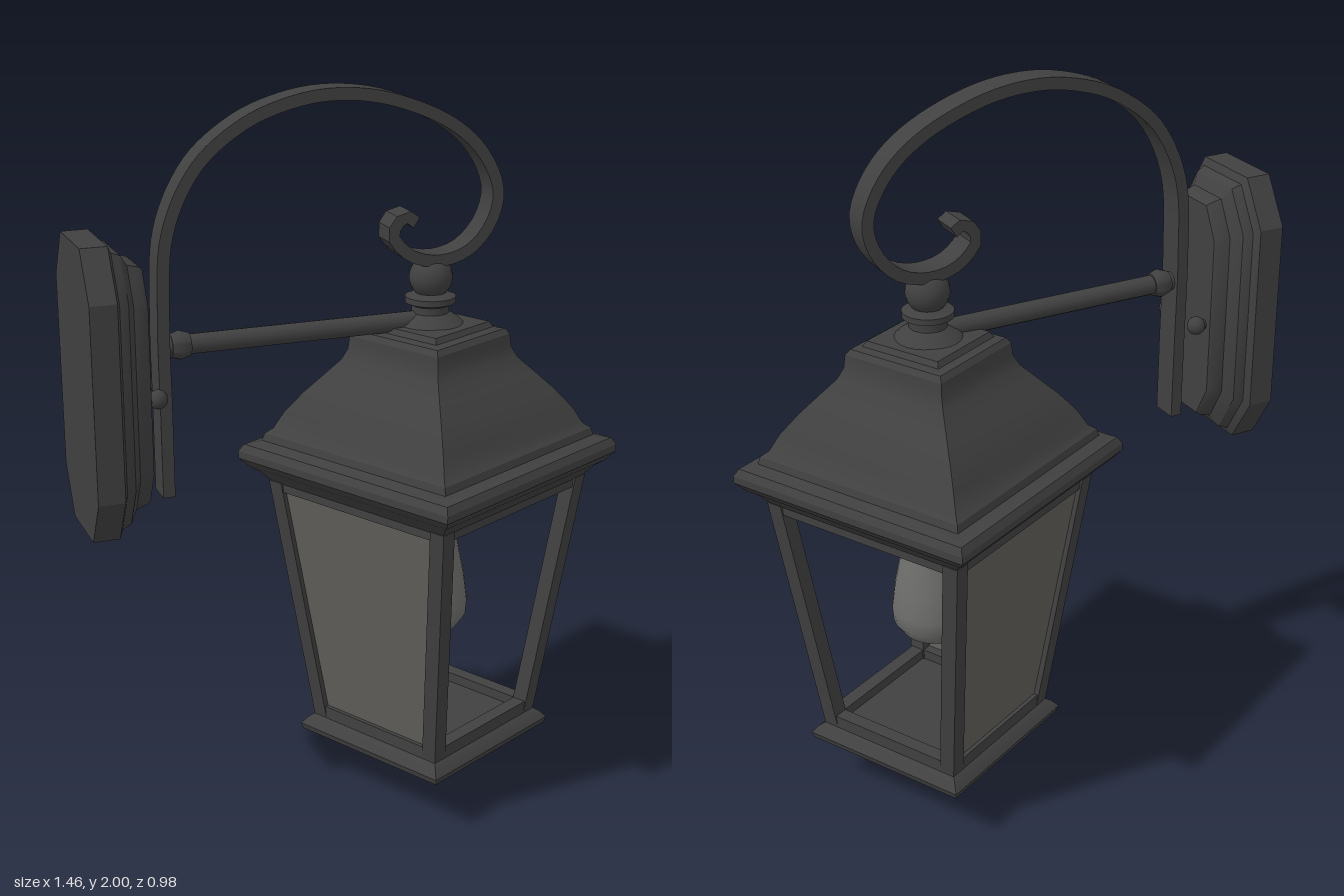
import * as THREE from 'three';
import { toCreasedNormals } from 'three/addons/utils/BufferGeometryUtils.js';

const metal = new THREE.MeshStandardMaterial({ color: 0x404040 });
metal.name = 'dark metal';
const glass = new THREE.MeshStandardMaterial({ color: 0x605f5a, side: THREE.DoubleSide });
glass.name = 'smoked glass';
const bulbGlass = new THREE.MeshStandardMaterial({ color: 0x6e6e6c });
bulbGlass.name = 'bulb glass';

function add(parent, name, geometry, material = metal, x = 0, y = 0, z = 0) {
  const mesh = new THREE.Mesh(geometry, material);
  mesh.name = name;
  mesh.position.set(x, y, z);
  parent.add(mesh);
  return mesh;
}

const vectors = (list) => list.map(([x, y]) => new THREE.Vector2(x, y));

// Profile of [radius, height] pairs, bottom to top, turned round the y axis
function turned(profile, sides = 24) {
  const geo = new THREE.LatheGeometry(vectors(profile), sides);
  return toCreasedNormals(geo, 0.8);
}

// Square loft from [half width, height] pairs, bottom to top
function squareLoft(profile) {
  const points = vectors(profile.map(([w, y]) => [w * Math.SQRT2, y]));
  return toCreasedNormals(new THREE.LatheGeometry(points, 4, Math.PI / 4), 0.5);
}

// Stretched octagons stacked along x from [x, inset] pairs
function octagonLoft(layers) {
  const position = [], index = [];
  for (const [x, inset] of layers) {
    const h = 0.38 - inset, w = 0.175 - inset;
    const cy = 0.125 - inset * 0.5, cz = 0.075 - inset * 0.4;
    const ring = [[h, w - cz], [h - cy, w], [cy - h, w], [-h, w - cz],
      [-h, cz - w], [cy - h, -w], [h - cy, -w], [h, cz - w]];
    for (const [y, z] of ring) position.push(x, y, z);
  }
  const last = (layers.length - 1) * 8;
  for (let l = 0; l < last; l += 8) {
    for (let i = 0; i < 8; i++) {
      const j = (i + 1) % 8;
      index.push(l + i, l + j, l + 8 + i, l + j, l + 8 + j, l + 8 + i);
    }
  }
  for (let i = 1; i < 7; i++) {
    index.push(0, i + 1, i, last, last + i, last + i + 1);
  }
  const geo = new THREE.BufferGeometry();
  geo.setAttribute('position', new THREE.Float32BufferAttribute(position, 3));
  geo.setIndex(index);
  // Make the walls face outward whichever way the ring runs
  const a = new THREE.Vector3().fromArray(position, 0);
  const b = new THREE.Vector3().fromArray(position, 3);
  const c = new THREE.Vector3().fromArray(position, 24);
  const n = b.sub(a).cross(c.sub(a));
  if (n.y < 0) {
    for (let i = 0; i < last * 6; i += 3) [index[i], index[i + 1]] = [index[i + 1], index[i]];
    geo.setIndex(index);
  }
  return toCreasedNormals(geo, 0.5);
}

// Flat bar of constant thickness following a curve in the xy plane
function strap(points, thickness, width) {
  const curve = new THREE.SplineCurve(vectors(points));
  const left = [], right = [];
  for (let i = 0; i <= 90; i++) {
    const p = curve.getPointAt(i / 90), t = curve.getTangentAt(i / 90);
    const n = new THREE.Vector2(-t.y, t.x).multiplyScalar(thickness / 2);
    left.push(p.clone().add(n));
    right.unshift(p.clone().sub(n));
  }
  const geo = new THREE.ExtrudeGeometry(new THREE.Shape([...left, ...right]),
    { depth: width, bevelEnabled: false });
  geo.translate(0, 0, -width / 2);
  return toCreasedNormals(geo, 0.6);
}

export function createModel() {
  const model = new THREE.Group();
  model.name = 'wallLantern';

  // Wall plate with two screws
  const wall = new THREE.Group();
  wall.name = 'wallMount';
  model.add(wall);
  add(wall, 'wallPlate', octagonLoft([[-0.73, 0], [-0.66, 0], [-0.65, 0.02], [-0.625, 0.03],
    [-0.605, 0.06], [-0.575, 0.068], [-0.565, 0.075]]), metal, 0, 1.285, 0);
  for (const z of [-0.07, 0.07]) {
    add(wall, 'screwHead', new THREE.SphereGeometry(0.025, 16, 12), metal, -0.54, 1.255, z);
    add(wall, 'screwShank', new THREE.CylinderGeometry(0.014, 0.014, 0.05, 12).rotateZ(Math.PI / 2),
      metal, -0.56, 1.255, z);
  }

  // Scrolled bracket and straight arm
  add(model, 'scrollBracket', strap([[-0.51, 0.975], [-0.51, 1.2], [-0.51, 1.45], [-0.495, 1.66],
    [-0.42, 1.82], [-0.3, 1.92], [-0.17, 1.97], [-0.04, 1.985], [0.1, 1.965], [0.25, 1.905],
    [0.35, 1.825], [0.405, 1.72], [0.39, 1.63], [0.33, 1.56], [0.25, 1.535], [0.17, 1.55],
    [0.115, 1.6], [0.12, 1.64], [0.15, 1.658], [0.175, 1.642]], 0.032, 0.075));
  add(model, 'arm', new THREE.CylinderGeometry(0.026, 0.026, 0.74, 16).rotateZ(Math.PI / 2),
    metal, -0.13, 1.37, 0);
  add(model, 'armCollar', turned([[0, -0.025], [0.03, -0.025], [0.038, 0], [0.03, 0.025], [0, 0.025]])
    .rotateZ(Math.PI / 2), metal, -0.46, 1.37, 0);

  // Lantern, turned on its hanging axis
  const lantern = new THREE.Group();
  lantern.name = 'lantern';
  lantern.position.x = 0.233;
  lantern.rotation.y = THREE.MathUtils.degToRad(27);
  model.add(lantern);

  add(lantern, 'roof', squareLoft([[0, 0.915], [0.3, 0.915], [0.325, 0.945], [0.345, 0.96],
    [0.366, 0.985], [0.366, 1.005], [0.355, 1.025], [0.32, 1.035], [0.315, 1.055], [0.298, 1.07],
    [0.277, 1.115], [0.24, 1.17], [0.2, 1.22], [0.168, 1.26], [0.155, 1.29], [0.152, 1.325],
    [0.142, 1.34], [0.12, 1.345], [0.112, 1.36], [0, 1.365]]));
  add(lantern, 'topCollar', turned([[0.1, 1.35], [0.075, 1.375], [0.05, 1.39], [0.05, 1.41],
    [0.068, 1.418], [0.068, 1.434], [0.035, 1.445]]));
  add(lantern, 'topBall', new THREE.SphereGeometry(0.058, 24, 16), metal, 0, 1.485, 0);

  add(lantern, 'base', squareLoft([[0, 0.085], [0.075, 0.085], [0.12, 0.105], [0.19, 0.125],
    [0.205, 0.15], [0.245, 0.158], [0.25, 0.175], [0.235, 0.195], [0.222, 0.205],
    [0.222, 0.212], [0, 0.212]]));
  add(lantern, 'bottomNeck', new THREE.CylinderGeometry(0.025, 0.03, 0.03, 16), metal, 0, 0.08, 0);
  add(lantern, 'bottomBall', new THREE.SphereGeometry(0.04, 20, 14), metal, 0, 0.04, 0);

  // Sloping corner posts
  const low = 0.2, high = 0.285, slope = (high - low) / 0.71;
  for (const sx of [-1, 1]) {
    for (const sz of [-1, 1]) {
      const post = new THREE.BoxGeometry(0.045, 0.71, 0.045);
      post.applyMatrix4(new THREE.Matrix4().makeShear(0, 0, sx * slope, sz * slope, 0, 0));
      const mid = (low + high) / 2;
      add(lantern, 'cornerPost', post, metal, sx * mid, 0.565, sz * mid);
    }
  }

  // Rails on all sides; panes on the two sides nearest the wall
  for (let i = 0; i < 4; i++) {
    const side = new THREE.Group();
    side.name = 'lanternSide';
    side.rotation.y = i * Math.PI / 2;
    lantern.add(side);
    add(side, 'bottomRail', new THREE.BoxGeometry(0.41, 0.04, 0.04), metal, 0, 0.22, 0.202);
    add(side, 'topRail', new THREE.BoxGeometry(0.57, 0.03, 0.035), metal, 0, 0.908, 0.283);
    if (i < 2) continue;
    const pane = new THREE.PlaneGeometry(1, 0.69);
    const p = pane.attributes.position;
    for (let k = 0; k < p.count; k++) {
      const w = p.getY(k) > 0 ? high : low;
      p.setX(k, Math.sign(p.getX(k)) * w);
      p.setZ(k, w + 0.008);
    }
    pane.computeVertexNormals();
    add(side, 'glassPane', pane, glass, 0, 0.565, 0);
  }

  // Bulb and its holder
  add(lantern, 'bulbHolder', new THREE.CylinderGeometry(0.085, 0.08, 0.1, 24), metal, 0, 0.87, 0);
  add(lantern, 'bulb', turned([[0, 0.462], [0.05, 0.466], [0.088, 0.485], [0.112, 0.52],
    [0.115, 0.56], [0.106, 0.63], [0.09, 0.71], [0.077, 0.78], [0.073, 0.83]]), bulbGlass);

  return model;
}
